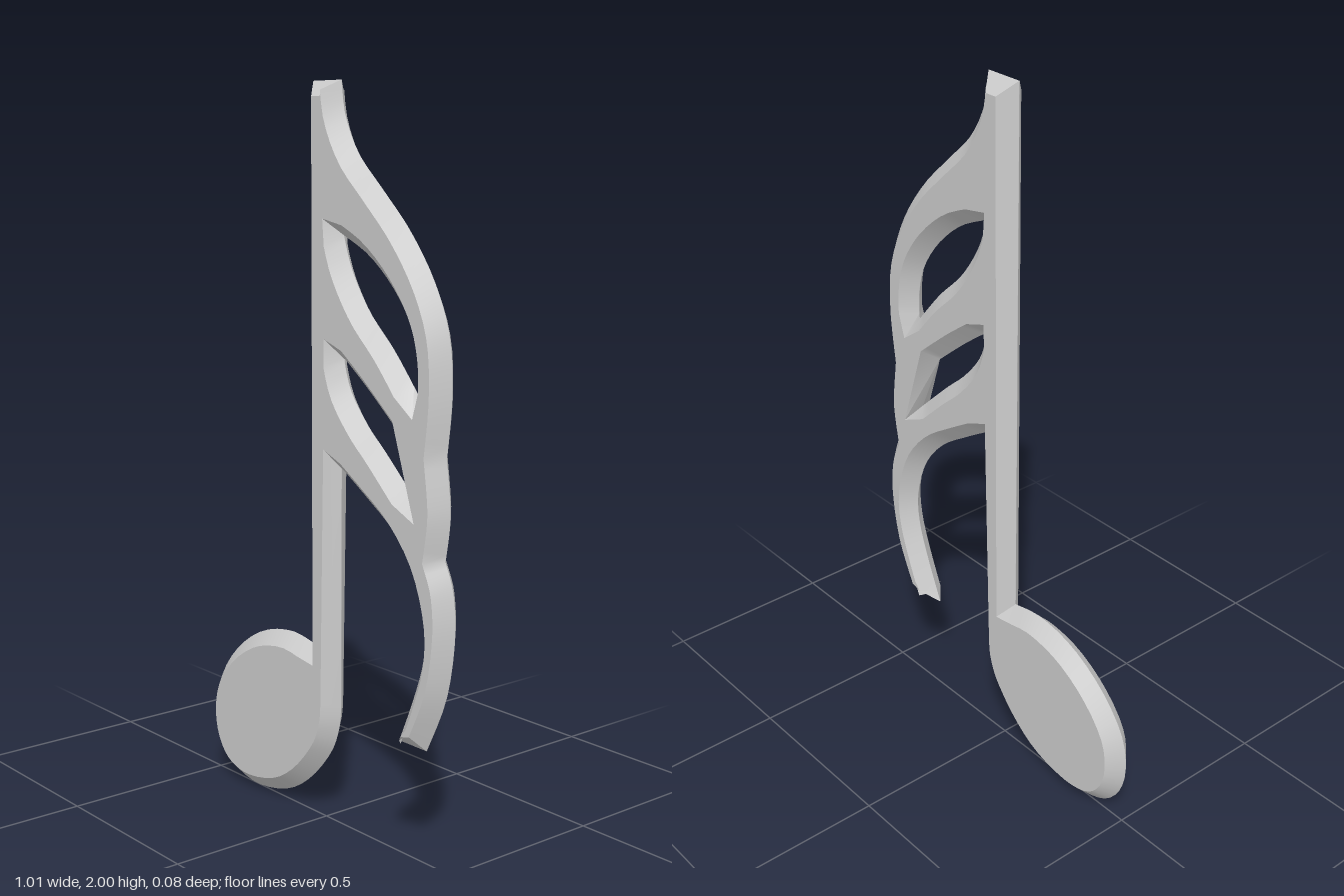
import * as THREE from 'three';
import { toCreasedNormals } from 'three/addons/utils/BufferGeometryUtils.js';

const HALF = 0.04; // half thickness, also the 45 degree chamfer width

// Chains smooth curves; each run starts where the previous one ended, so joints stay sharp.
function trace(path, start, runs) {
  path.moveTo(...start);
  for (const run of runs) {
    const pts = run.map(([x, y]) => new THREE.Vector2(x, y));
    if (pts.length === 1) path.lineTo(pts[0].x, pts[0].y);
    else path.splineThru(pts);
  }
  return path;
}

export function createModel() {
  const group = new THREE.Group();
  group.name = 'musicNote';

  const outline = trace(new THREE.Shape(), [-0.053, 2], [
    // stem, left edge
    [[-0.046, 0.488]],
    // oval head, running into the right edge of the stem
    [[-0.15, 0.503], [-0.28, 0.475], [-0.4, 0.4], [-0.485, 0.295], [-0.506, 0.185],
      [-0.48, 0.09], [-0.415, 0.025], [-0.31, 0.003], [-0.175, 0.03], [-0.07, 0.095],
      [0.02, 0.195], [0.055, 0.275], [0.063, 0.34]],
    [[0.063, 1.0]],
    // inner edge of the lowest flag
    [[0.165, 0.937], [0.27, 0.865], [0.35, 0.77], [0.392, 0.65], [0.39, 0.55],
      [0.355, 0.44], [0.3, 0.31]],
    // flag tip
    [[0.405, 0.31]],
    // outer edges of the three flags, lowest first
    [[0.475, 0.465], [0.503, 0.625], [0.495, 0.745], [0.465, 0.82]],
    [[0.481, 0.94], [0.465, 1.08]],
    [[0.481, 1.23], [0.47, 1.38], [0.415, 1.51], [0.325, 1.63], [0.22, 1.73],
      [0.13, 1.815], [0.076, 1.91], [0.06, 2]],
    [[-0.053, 2]],
  ]);

  // openings between the flags
  outline.holes.push(
    trace(new THREE.Path(), [0.07, 1.61], [
      [[0.175, 1.56], [0.27, 1.48], [0.335, 1.39], [0.36, 1.305], [0.362, 1.225]],
      [[0.27, 1.33], [0.175, 1.42], [0.105, 1.52], [0.07, 1.61]],
    ]),
    trace(new THREE.Path(), [0.07, 1.295], [
      [[0.165, 1.225], [0.275, 1.135]],
      [[0.358, 0.955]],
      [[0.245, 1.06], [0.165, 1.13], [0.1, 1.21], [0.07, 1.295]],
    ]),
  );

  // both faces are chamfered back from a ridge at mid thickness
  const core = 0.001;
  const geometry = new THREE.ExtrudeGeometry(outline, {
    depth: core,
    curveSegments: 3,
    bevelEnabled: true,
    bevelThickness: HALF,
    bevelSize: HALF,
    bevelOffset: -HALF,
    bevelSegments: 1,
  });
  geometry.translate(0, 0, -core / 2);

  const note = new THREE.Mesh(
    toCreasedNormals(geometry, 0.5),
    new THREE.MeshStandardMaterial({ color: 0xcccccc }),
  );
  note.name = 'stemHeadAndFlags';
  group.add(note);
  return group;
}
